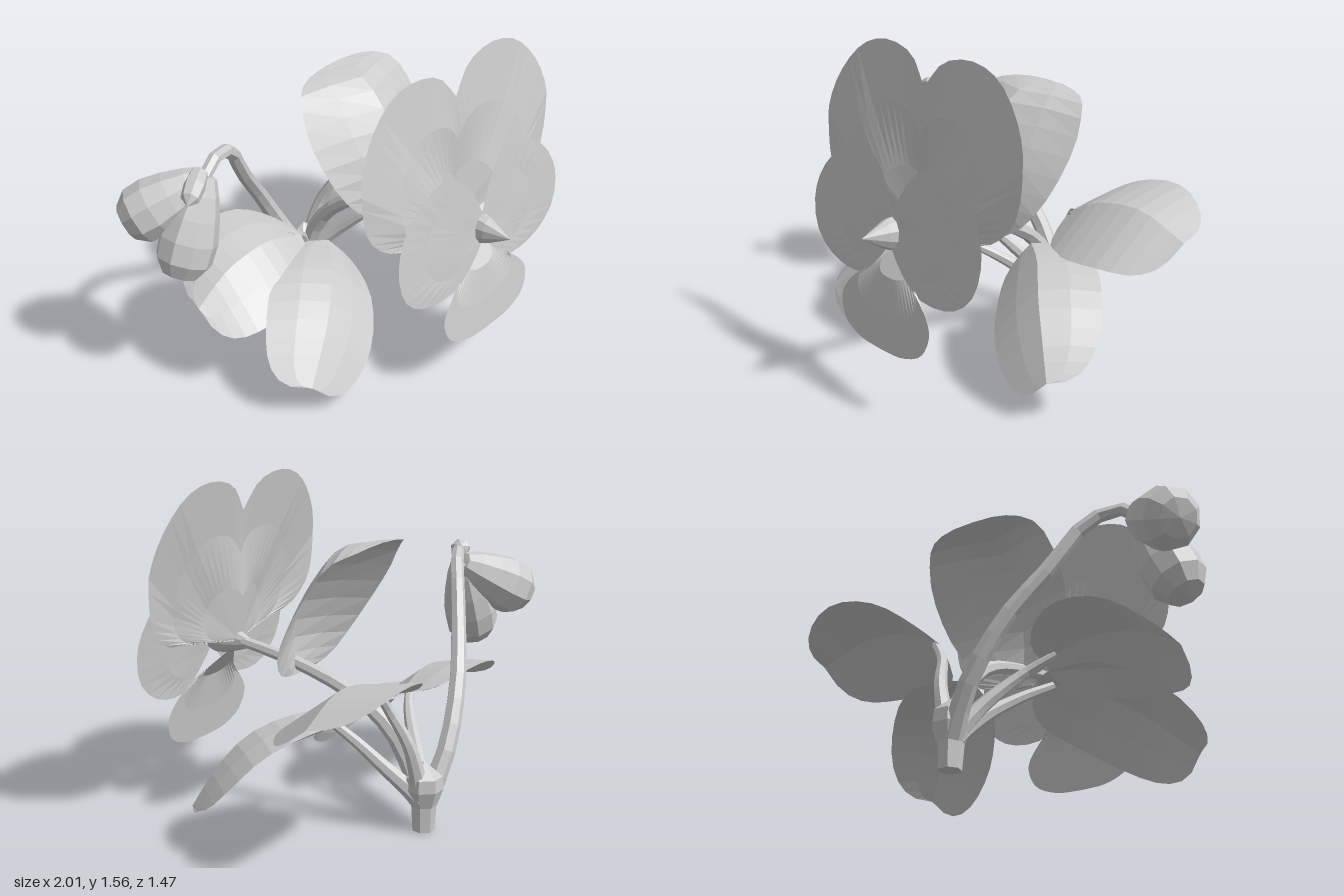
import * as THREE from 'three';

const V = (p) => new THREE.Vector3(...p);
const curve = (pts) => new THREE.CatmullRomCurve3(pts.map(V));

export function createModel() {
  const root = new THREE.Group();
  const grey = new THREE.MeshStandardMaterial({ color: 0xcccccc, side: THREE.DoubleSide, flatShading: true });
  grey.name = 'light grey';

  const add = (name, geo, parent = root) => {
    const m = new THREE.Mesh(geo, grey);
    m.name = name;
    parent.add(m);
    return m;
  };

  // Grid of rows of equal length turned into a surface
  const surface = (rows) => {
    const n = rows[0].length, idx = [];
    for (let i = 0; i < rows.length - 1; i++) {
      for (let j = 0; j < n - 1; j++) {
        const a = i * n + j, b = a + n;
        idx.push(a, b, a + 1, a + 1, b, b + 1);
      }
    }
    const g = new THREE.BufferGeometry();
    g.setAttribute('position', new THREE.Float32BufferAttribute(rows.flat(2), 3));
    g.setIndex(idx);
    g.computeVertexNormals();
    return g;
  };

  // Tapering stalk along a path
  const stalk = (name, pts, r0, r1) => {
    const path = curve(pts), n = 12, sides = 7;
    const g = new THREE.TubeGeometry(path, n, 1, sides);
    const p = g.attributes.position, v = new THREE.Vector3();
    for (let i = 0; i <= n; i++) {
      const c = path.getPointAt(i / n), r = r0 + (r1 - r0) * Math.sqrt(i / n);
      for (let j = 0; j <= sides; j++) {
        const k = i * (sides + 1) + j;
        v.fromBufferAttribute(p, k).sub(c).multiplyScalar(r).add(c);
        p.setXYZ(k, v.x, v.y, v.z);
      }
    }
    g.computeVertexNormals();
    add(name, g);
  };

  // Leaf: midrib curve plus an edge offset on either side, with a rounded outline;
  // cup flattens the droop of the edges towards both ends
  const leaf = (name, mid, a, b, { arch = 0.01, power = 0.8, cup = 0 } = {}) => {
    const path = curve(mid), rows = [], n = 14;
    for (let i = 0; i <= n; i++) {
      const c = path.getPointAt((1 - Math.cos(Math.PI * i / n)) / 2);
      const s = Math.max(0, Math.sin(Math.PI * i / n));
      const w = Math.pow(s, power), droop = Math.pow(s, cup);
      rows.push([-1, -0.5, 0, 0.5, 1].map((u) => {
        const [x, y, z] = u < 0 ? a : b, k = Math.abs(u) * w;
        const lift = Math.abs(u) === 0.5 ? arch * w : 0;
        return [c.x + x * k, c.y + y * k * droop + lift, c.z + z * k * droop];
      }));
    }
    add(name, surface(rows));
  };

  // Solid of revolution running from point a to point b; profile is [radius, 0..1]
  const spindle = (name, a, b, profile, sides = 9) => {
    const A = V(a), d = V(b).sub(A), len = d.length();
    const g = new THREE.LatheGeometry(profile.map(([r, t]) => new THREE.Vector2(r, t * len)), sides);
    const m = add(name, g);
    m.position.copy(A);
    m.quaternion.setFromUnitVectors(new THREE.Vector3(0, 1, 0), d.normalize());
    return m;
  };

  // Main stem, swelling where the stalks part
  const stem = add('mainStem', new THREE.LatheGeometry(
    [[0, 0], [0.052, 0], [0.06, 0.12], [0.09, 0.2], [0.085, 0.26], [0, 0.33]]
      .map(([r, y]) => new THREE.Vector2(r, y)), 7));
  stem.position.set(0.16, 0, -0.54);

  // Stalks
  stalk('flowerStalk', [[0.16, 0.14, -0.53], [0.18, 0.38, -0.44], [0.2, 0.54, -0.3],
    [0.22, 0.63, -0.15], [0.225, 0.69, 0.02], [0.225, 0.74, 0.22], [0.225, 0.77, 0.4]], 0.055, 0.026);
  stalk('budStalk', [[0.15, 0.14, -0.55], [0.04, 0.36, -0.59], [-0.12, 0.63, -0.56], [-0.3, 0.88, -0.47],
    [-0.42, 1.07, -0.4], [-0.56, 1.15, -0.33], [-0.68, 1.08, -0.3]], 0.055, 0.03);
  stalk('rightBackLeafStalk', [[0.18, 0.16, -0.54], [0.25, 0.42, -0.51], [0.3, 0.58, -0.44], [0.36, 0.68, -0.415]], 0.055, 0.02);
  stalk('rightFrontLeafStalk', [[0.17, 0.15, -0.53], [0.25, 0.29, -0.4], [0.31, 0.42, -0.27], [0.38, 0.54, -0.14]], 0.055, 0.02);
  stalk('leftFrontLeafStalk', [[0.15, 0.15, -0.53], [0.08, 0.28, -0.4], [0, 0.39, -0.26], [-0.09, 0.48, -0.12]], 0.055, 0.02);
  stalk('leftBackLeafStalk', [[0.15, 0.15, -0.54], [0.05, 0.32, -0.44], [-0.08, 0.47, -0.33], [-0.2, 0.55, -0.27]], 0.055, 0.02);

  // Leaves
  leaf('rightBackLeaf', [[0.33, 0.67, -0.42], [0.5, 0.76, -0.43], [0.75, 0.79, -0.44], [1, 0.7, -0.45]],
    [0, 0.05, -0.3], [0, -0.215, 0.285], { arch: 0 });
  leaf('rightFrontLeaf', [[0.3, 0.56, -0.2], [0.48, 0.56, -0.06], [0.64, 0.48, 0.09], [0.76, 0.34, 0.18], [0.85, 0.19, 0.24]],
    [0.18, -0.01, -0.22], [-0.15, -0.22, 0.12]);
  leaf('leftFrontLeaf', [[-0.03, 0.49, -0.17], [-0.2, 0.48, 0.02], [-0.38, 0.38, 0.17], [-0.61, 0.18, 0.29]],
    [-0.22, 0.02, -0.19], [0.17, -0.21, 0.12], { power: 0.7 });
  leaf('leftBackLeaf', [[-0.13, 0.53, -0.26], [-0.35, 0.6, -0.26], [-0.6, 0.57, -0.26], [-0.8, 0.46, -0.25]],
    [0.02, 0.05, -0.29], [-0.02, -0.22, 0.26]);

  // Arched bract rising from the flower stalk
  leaf('bract', [[0.22, 0.66, 0.09], [0.22, 0.84, 0.11], [0.22, 1, 0.07], [0.22, 1.15, -0.02],
    [0.22, 1.28, -0.15], [0.22, 1.315, -0.35]], [-0.365, -0.04, -0.16], [0.365, -0.04, -0.16], { cup: 1 });

  // Flower petals: half outlines fanned from a point, bent by a depth rule, mirrored
  const flower = new THREE.Group();
  flower.name = 'flower';
  flower.position.x = 0.222;
  root.add(flower);
  const petal = (name, origin, outline, depth) => {
    const edge = curve(outline.map(([x, y]) => [x, y, 0])).getPoints(24);
    for (const side of [1, -1]) {
      const rows = [0, 0.33, 0.67, 1].map((s) => edge.map((p) => {
        const x = p.x * s, y = origin + (p.y - origin) * s;
        return [x * side, y, depth(Math.abs(x), y)];
      }));
      add(name + (side > 0 ? 'Right' : 'Left'), surface(rows), flower);
    }
  };
  petal('backPetal', 0.78,
    [[0, 1.4], [-0.1, 1.52], [-0.27, 1.56], [-0.43, 1.52], [-0.56, 1.4], [-0.635, 1.25], [-0.645, 1.1],
      [-0.61, 0.95], [-0.5, 0.85], [-0.3, 0.81], [0, 0.77]],
    (x, y) => 0.42 + 0.06 * Math.sin(Math.PI * x / 0.7) * Math.min(1, Math.max(0, (1.25 - y) / 0.3))
      - 0.17 * Math.max(0, y - 1.2)
      - 0.03 * Math.max(0, 1 - Math.abs(y - 1.05) / 0.25) * Math.max(0, 1 - x / 0.3));
  petal('sidePetal', 0.78,
    [[0, 0.87], [-0.04, 0.96], [-0.12, 1.07], [-0.23, 1.12], [-0.35, 1.09], [-0.48, 1.01], [-0.55, 0.9],
      [-0.57, 0.8], [-0.54, 0.67], [-0.45, 0.58], [-0.33, 0.54], [-0.2, 0.55], [-0.09, 0.63], [0, 0.74]],
    (x, y) => 0.53 + 0.12 * (1.11 - y) + 0.01 * Math.cos(x * 9));
  petal('lowerPetal', 0.74,
    [[0, 0.74], [-0.05, 0.68], [-0.16, 0.58], [-0.26, 0.5], [-0.305, 0.42], [-0.27, 0.32], [-0.15, 0.265], [0, 0.255]],
    (x, y) => (y > 0.57 ? 0.6 - (y - 0.57) * 0.84 : 0.6 + (0.57 - y) * 0.15));

  // Pointed flower centre
  spindle('flowerCentre', [0.222, 0.765, 0.36], [0.222, 0.8, 0.735],
    [[0.022, 0], [0.045, 0.15], [0.075, 0.35], [0.085, 0.5], [0.065, 0.67], [0.03, 0.85], [0, 1]], 10).scale.x = 0.72;

  // Two-lobed hanging bud with a small nub on top
  const pear = [[0, 0], [0.055, 0.03], [0.085, 0.18], [0.115, 0.4], [0.135, 0.62], [0.13, 0.82], [0.085, 0.96], [0, 1]];
  spindle('budFrontLobe', [-0.65, 1.1, -0.31], [-0.865, 0.65, -0.29], pear);
  spindle('budBackLobe', [-0.64, 1.08, -0.31], [-0.96, 0.88, -0.53], pear.map(([r, t]) => [r * 1.04, t]));
  spindle('budNub', [-0.69, 1.15, -0.29], [-0.86, 1.08, -0.19],
    [[0, 0], [0.04, 0.1], [0.05, 0.45], [0.042, 0.8], [0, 1]], 7);

  return root;
}
